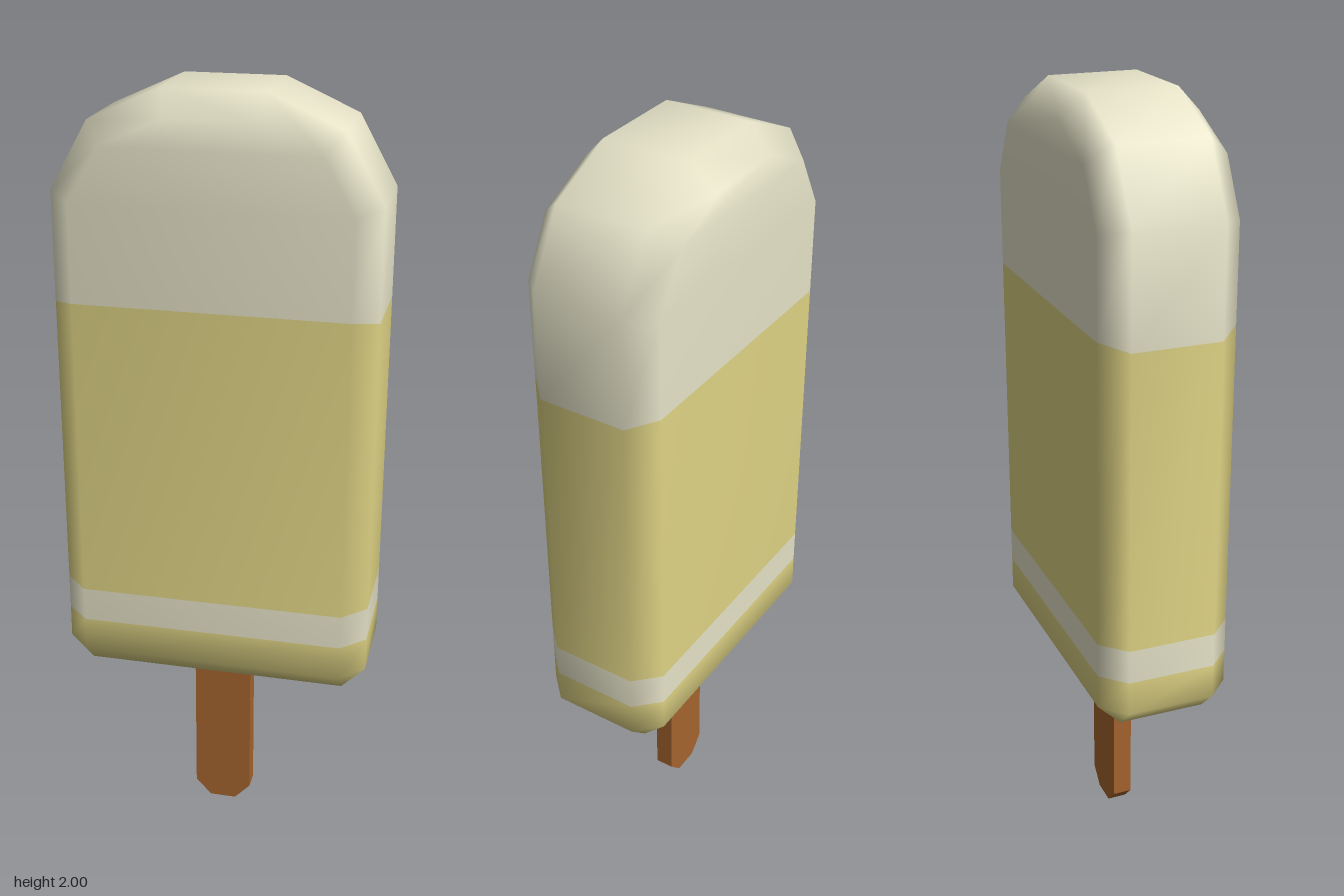
import * as THREE from 'three';
import { mergeVertices } from 'three/addons/utils/BufferGeometryUtils.js';

const paint = (name, color) => Object.assign(new THREE.MeshStandardMaterial({ color }), { name });

// Rows up the bar: [outer half width, outer y, inner half width, inner y, colour of the band above]
const ROWS = [
  [0.34, 0.47, 0.34, 0.53, 1],
  [0.40, 0.53, 0.34, 0.53, 1],
  [0.40, 0.62, 0.34, 0.62, 0],
  [0.40, 0.71, 0.34, 0.71, 1],
  [0.40, 1.475, 0.34, 1.49, 0],
  [0.40, 1.75, 0.34, 1.735, 0],
  [0.305, 1.92, 0.265, 1.87, 0],
  [0.125, 2.0, 0.11, 1.94, 0],
];
const SIDE_Z = 0.113, FACE_Z = 0.173;

// Chamfered octagonal rings lofted upwards, with one material group per band
function iceGeometry() {
  const points = [], index = [];
  for (const [X, Y, x, y] of ROWS) {
    points.push(
      [-x, y, FACE_Z], [x, y, FACE_Z], [X, Y, SIDE_Z], [X, Y, -SIDE_Z],
      [x, y, -FACE_Z], [-x, y, -FACE_Z], [-X, Y, -SIDE_Z], [-X, Y, SIDE_Z]);
  }
  const geometry = new THREE.BufferGeometry();
  const same = (i, j) => points[i].every((v, k) => v === points[j][k]);
  const tri = (a, b, c) => {
    if (!same(a, b) && !same(b, c) && !same(a, c)) index.push(a, b, c);
  };
  const quad = (a, b, c, d) => { tri(a, b, c); tri(a, c, d); };
  const band = (material, build) => {
    const start = index.length;
    build();
    geometry.addGroup(start, index.length - start, material);
  };
  const capStrips = [[0, 7, 2, 1], [7, 6, 3, 2], [6, 5, 4, 3]];

  // Bottom cap
  band(1, () => capStrips.forEach((q) => quad(...q)));
  // Walls
  for (let r = 0; r < ROWS.length - 1; r++) {
    band(ROWS[r][4], () => {
      for (let i = 0; i < 8; i++) {
        const a = r * 8 + i, b = r * 8 + (i + 1) % 8;
        quad(a, b, b + 8, a + 8);
      }
    });
  }
  // Top cap
  const top = (ROWS.length - 1) * 8;
  band(0, () => capStrips.forEach((q) => quad(...q.map((i) => i + top).reverse())));

  geometry.setAttribute('position', new THREE.Float32BufferAttribute(points.flat(), 3));
  geometry.setIndex(index);
  const smooth = mergeVertices(geometry);
  smooth.computeVertexNormals();
  return smooth;
}

// Flat stick with clipped lower corners, its upper end inside the ice
function stickGeometry() {
  const outline = [[-0.035, 0], [0.035, 0], [0.077, 0.045], [0.077, 0.6], [-0.077, 0.6], [-0.077, 0.045]];
  const shape = new THREE.Shape(outline.map(([x, y]) => new THREE.Vector2(x, y)));
  return new THREE.ExtrudeGeometry(shape, { depth: 0.05, bevelEnabled: false }).translate(0, 0, -0.025);
}

export function createModel() {
  const cream = paint('cream', 0xe6e3c8);
  const yellow = paint('yellow', 0xe0d485);
  const wood = paint('wood', 0xa5642f);

  const model = new THREE.Group();
  model.name = 'icePop';
  const ice = new THREE.Mesh(iceGeometry(), [cream, yellow]);
  ice.name = 'iceBar';
  const stick = new THREE.Mesh(stickGeometry(), wood);
  stick.name = 'stick';
  model.add(ice, stick);
  return model;
}
